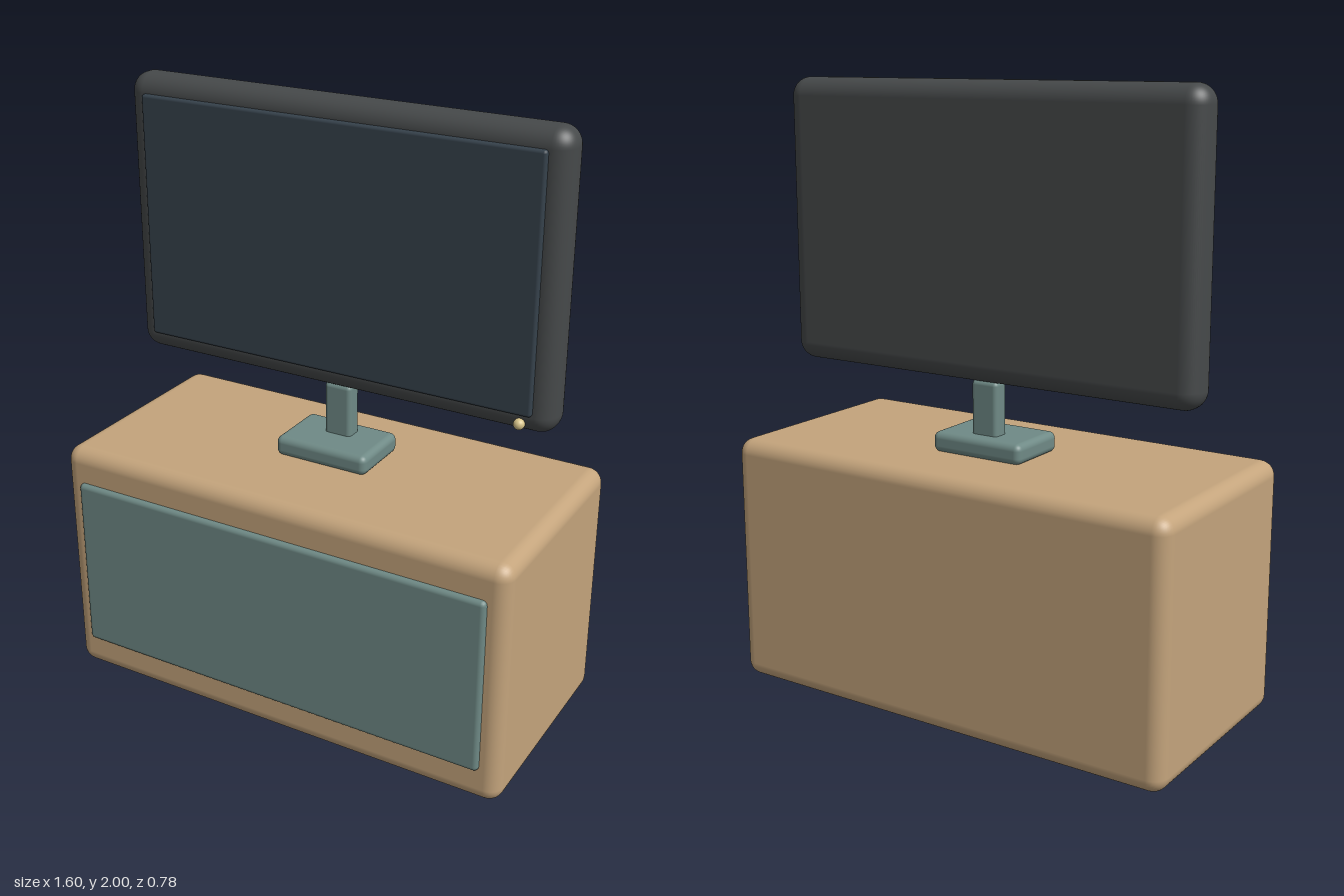
import * as THREE from 'three';
import { RoundedBoxGeometry } from 'three/addons/geometries/RoundedBoxGeometry.js';

const material = (color) => new THREE.MeshStandardMaterial({ color });

export function createModel() {
  const group = new THREE.Group();
  const wood = material(0xc4a47c);
  const teal = material(0x6f8a86);
  const casing = material(0x46494a);
  const glass = material(0x36424c);
  const brass = material(0xd8c48a);

  // Rounded block given by its [min, max] extent on each axis
  const block = (name, mat, x, y, z, radius, segments = 4) => {
    const size = [x, y, z].map(([a, b]) => b - a);
    const mesh = new THREE.Mesh(new RoundedBoxGeometry(...size, segments, radius), mat);
    mesh.position.set(...[x, y, z].map(([a, b]) => (a + b) / 2));
    mesh.name = name;
    group.add(mesh);
  };

  // Cabinet with a raised front panel
  block('cabinet', wood, [-0.8, 0.8], [0, 0.835], [-0.39, 0.373], 0.05);
  block('frontPanel', teal, [-0.735, 0.735], [0.12, 0.72], [0.345, 0.39], 0.016, 2);

  // Stand
  block('standBase', teal, [-0.165, 0.165], [0.833, 0.9], [-0.155, 0.072], 0.022);
  block('standNeck', teal, [-0.048, 0.048], [0.88, 1.075], [-0.105, -0.043], 0.015);

  // Screen housing and display
  block('screenHousing', casing, [-0.75, 0.75], [1.07, 2], [-0.14, -0.008], 0.06, 6);
  block('display', glass, [-0.685, 0.685], [1.135, 1.94], [-0.03, 0.007], 0.01, 2);

  // Power light on the lower bezel
  const light = new THREE.Mesh(new THREE.SphereGeometry(0.018, 20, 14), brass);
  light.position.set(0.646, 1.105, -0.004);
  light.name = 'powerLight';
  group.add(light);

  return group;
}
